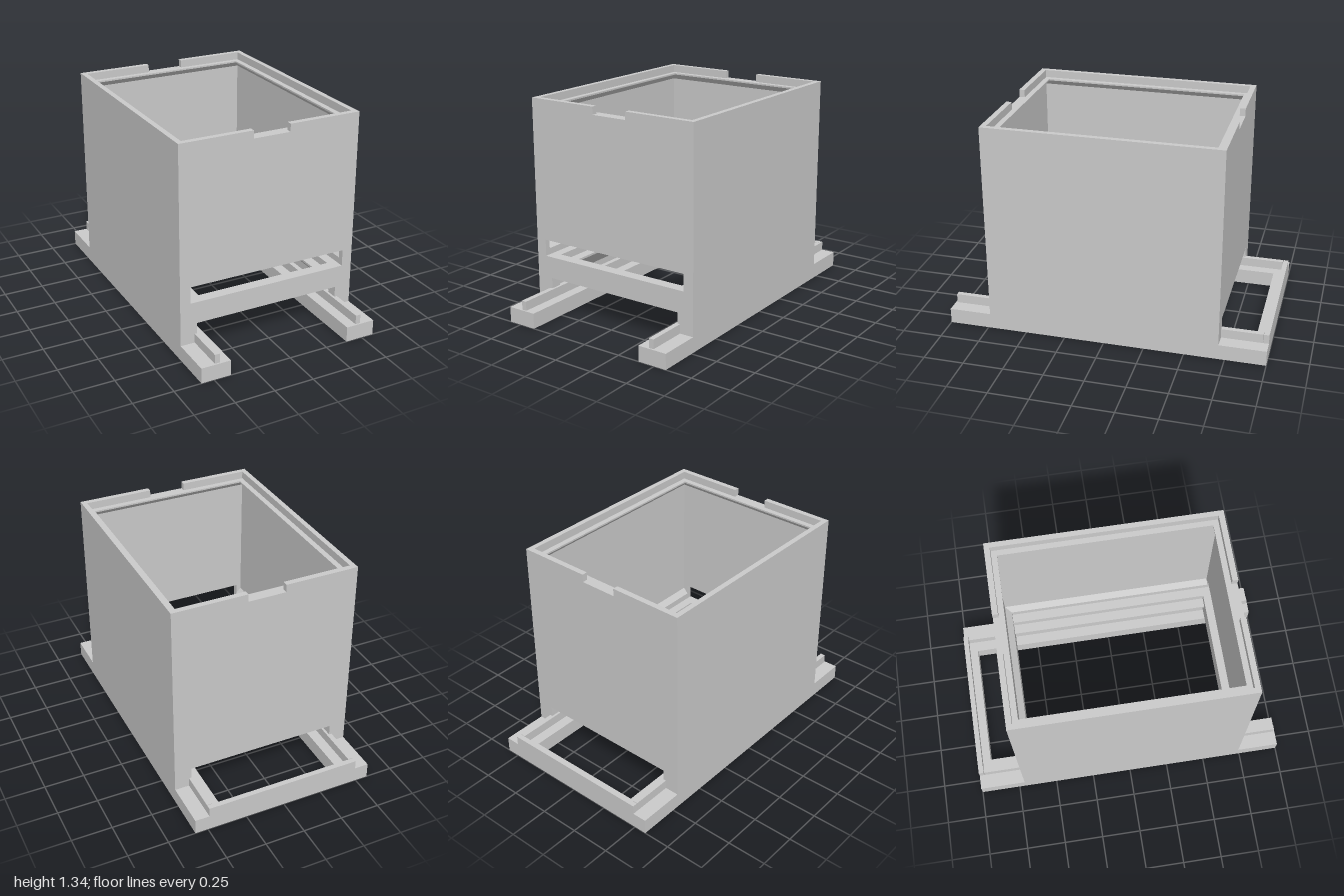
import * as THREE from 'three';

export function createModel() {
  const model = new THREE.Group();
  const grey = new THREE.MeshStandardMaterial({ color: 0xcacaca });
  grey.name = 'light grey';

  const add = (name, geometry) => {
    const mesh = new THREE.Mesh(geometry, grey);
    mesh.name = name;
    model.add(mesh);
  };
  // Box given by its minimum and maximum on each axis
  const box = (name, x0, x1, y0, y1, z0, z1) =>
    add(name, new THREE.BoxGeometry(x1 - x0, y1 - y0, z1 - z0)
      .translate((x0 + x1) / 2, (y0 + y1) / 2, (z0 + z1) / 2));
  const vectors = (points) => points.map(([x, y]) => new THREE.Vector2(x, y));
  const polygon = (points) => new THREE.Shape(vectors(points));
  const extrude = (shape, depth) =>
    new THREE.ExtrudeGeometry(shape, { depth, bevelEnabled: false, curveSegments: 32 });
  // Shape in x-y pushed along z, in z-y pushed along x, and in x and -z pushed upwards
  const extrudeZ = (name, shape, z0, z1) => add(name, extrude(shape, z1 - z0).translate(0, 0, z0));
  const extrudeX = (name, shape, half) =>
    add(name, extrude(shape, 2 * half).rotateY(-Math.PI / 2).translate(half, 0, 0));
  const extrudeY = (name, shape, y0, y1) =>
    add(name, extrude(shape, y1 - y0).rotateX(-Math.PI / 2).translate(0, y0, 0));

  // U-shaped base: two rails joined by a narrow bar at the back
  const baseShape = () => polygon([[-0.58, -1], [-0.392, -1], [-0.392, 0.915], [0.392, 0.915],
    [0.392, -1], [0.58, -1], [0.58, 1], [-0.58, 1]]);
  // Round shallow recesses near the four corners of the underside
  const underside = baseShape();
  for (const x of [-0.487, 0.487]) for (const z of [-0.905, 0.905]) {
    underside.holes.push(new THREE.Path().absarc(x, z, 0.07, 0, Math.PI * 2, true));
  }
  extrudeY('baseUnderside', underside, 0, 0.015);
  extrudeY('baseTop', baseShape(), 0.015, 0.097);

  // Low ridge on top of the base
  box('rearRidge', -0.49, 0.49, 0.097, 0.155, -1, -0.968);
  box('leftRidge', 0.458, 0.49, 0.097, 0.155, -0.965, 0.99);
  box('rightRidge', -0.49, -0.458, 0.097, 0.155, -0.965, 0.99);

  // Thin end walls, thicker near the bottom, with a low opening through both
  const endWall = (x, top) => polygon([[-x, 0.097], [-0.473, 0.097], [-0.473, 0.223],
    [0.473, 0.223], [0.473, 0.097], [x, 0.097], [x, top], [-x, top]]);
  const front = endWall(0.58, 1.295);
  front.holes.push(new THREE.Path(
    vectors([[-0.515, 0.36], [-0.515, 0.465], [0.515, 0.465], [0.515, 0.36]])));
  extrudeZ('frontWall', front, 0.7, 0.735);
  extrudeZ('frontLowerWall', endWall(0.547, 0.36), 0.665, 0.7);
  extrudeZ('backWall', endWall(0.58, 1.295), -0.71, -0.675);
  extrudeZ('backLowerWall', endWall(0.547, 0.4), -0.675, -0.635);
  extrudeX('backWallChamfer', polygon([[-0.675, 0.4], [-0.635, 0.4], [-0.675, 0.435]]), 0.547);

  // Lip inside the top edge, sloping underneath
  const lip = (wall, edge) => polygon([[wall, 1.25], [edge, 1.285], [edge, 1.295], [wall, 1.295]]);
  extrudeX('frontLip', lip(0.7, 0.665), 0.547);
  extrudeX('backLip', lip(-0.675, -0.64), 0.547);

  for (const [side, s] of [['left', 1], ['right', -1]]) {
    const span = (name, a, b, y0, y1, z0, z1) =>
      box(side + name, Math.min(a * s, b * s), Math.max(a * s, b * s), y0, y1, z0, z1);
    span('Wall', 0.547, 0.58, 0.097, 1.295, -0.675, 0.7);
    extrudeZ(side + 'Lip', lip(0.547 * s, 0.512 * s), -0.675, 0.7);

    // Thin raised rim, notched in the middle of both ends
    span('Rim', 0.547, 0.58, 1.295, 1.343, -0.71, 0.735);
    span('FrontRim', 0.118, 0.547, 1.295, 1.343, 0.7, 0.735);
    span('BackRim', 0.118, 0.547, 1.295, 1.343, -0.71, -0.675);

    // Thicker lower wall with a chamfered top and a stepped ledge, sloping underneath
    const lower = [[0.547, 0.097], [0.547, 0.435], [0.515, 0.4], [0.515, 0.36], [0.455, 0.36],
      [0.455, 0.315], [0.393, 0.315], [0.393, 0.302], [0.515, 0.18], [0.515, 0.097]];
    extrudeZ(side + 'LowerWall', polygon(lower.map(([x, y]) => [x * s, y])), -0.675, 0.7);
  }
  return model;
}
